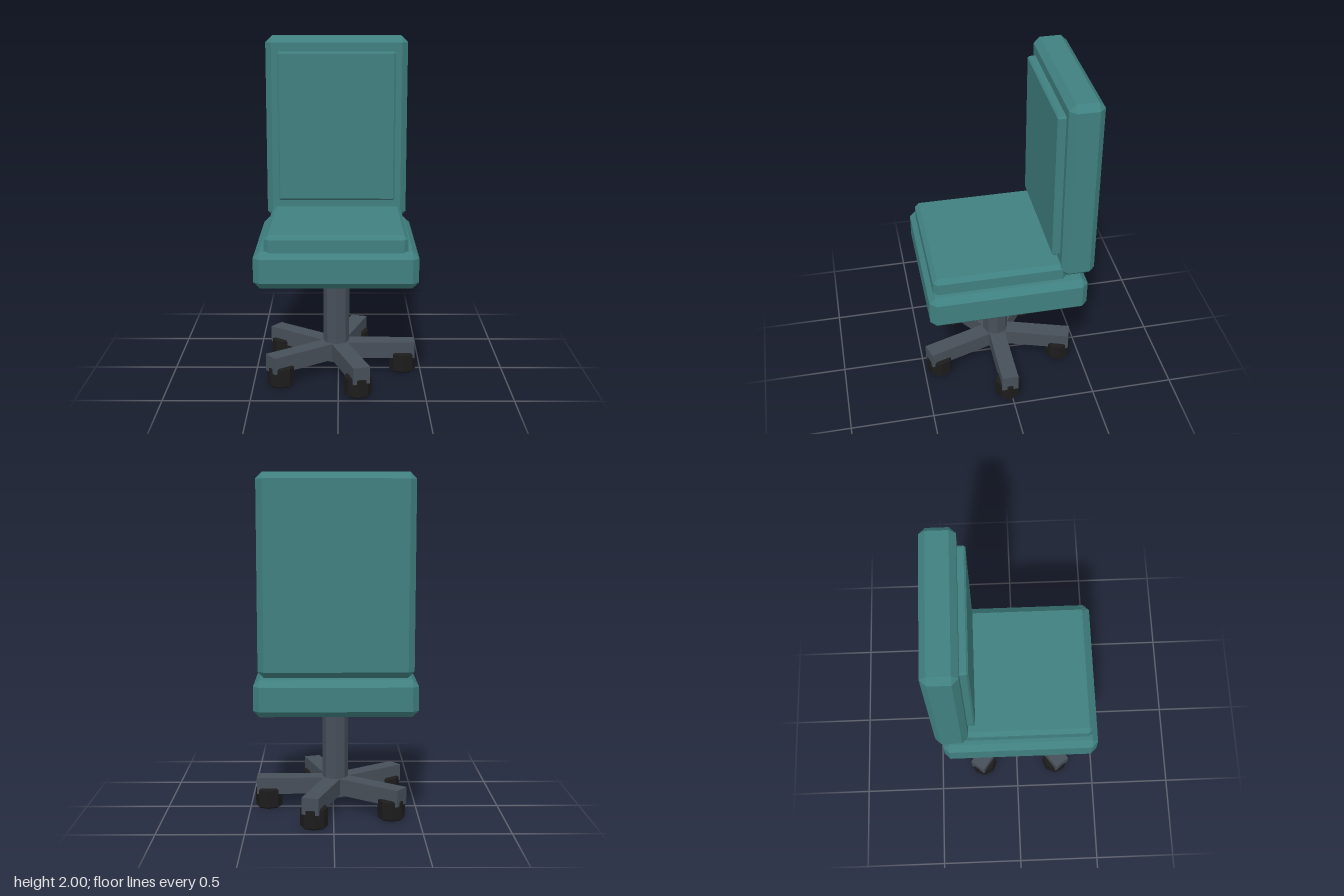
import * as THREE from 'three';
import { ConvexGeometry } from 'three/addons/geometries/ConvexGeometry.js';

const CX = -0.0125, CZ = 0.0175; // axis of the swivel column

// Box with every edge chamfered by c, given its lower and upper corners
function chamferBox(lo, hi, c) {
  const points = [];
  for (let corner = 0; corner < 8; corner++) {
    for (let axis = 0; axis < 3; axis++) {
      const p = [0, 1, 2].map((i) => {
        const inset = i === axis ? 0 : c;
        return (corner >> i) & 1 ? hi[i] - inset : lo[i] + inset;
      });
      points.push(new THREE.Vector3(...p));
    }
  }
  return new ConvexGeometry(points);
}

// Eight-sided upright post with bevelled rims
function octagonPost(radius, y0, y1, bevel) {
  const profile = [
    [0, y0], [radius - bevel, y0], [radius, y0 + bevel],
    [radius, y1 - bevel], [radius - bevel, y1], [0, y1],
  ].map(([x, y]) => new THREE.Vector2(x, y));
  const geometry = new THREE.LatheGeometry(profile, 8).toNonIndexed();
  geometry.computeVertexNormals();
  return geometry;
}

export function createModel() {
  const group = new THREE.Group();
  group.name = 'officeChair';

  const material = (name, color) => {
    const m = new THREE.MeshStandardMaterial({ color });
    m.name = name;
    return m;
  };
  const teal = material('tealUpholstery', 0x408080);
  const grey = material('greyMetal', 0x474f59);
  const black = material('blackRubber', 0x1c1c1d);

  const add = (name, geometry, mat, parent = group) => {
    const mesh = new THREE.Mesh(geometry, mat);
    mesh.name = name;
    parent.add(mesh);
    return mesh;
  };

  // Upholstery
  add('seat', chamferBox([-0.475, 0.65, -0.445], [0.45, 0.86, 0.48], 0.036), teal);
  add('seatCushion', chamferBox([-0.415, 0.81, -0.325], [0.39, 0.953, 0.45], 0.025), teal);
  add('backrest', chamferBox([-0.445, 0.88, -0.485], [0.42, 2, -0.29], 0.036), teal);
  add('backPad', chamferBox([-0.37, 1.002, -0.31], [0.345, 1.91, -0.245], 0.01), teal);

  // Swivel base
  const base = new THREE.Group();
  base.name = 'base';
  base.position.set(CX, 0, CZ);
  group.add(base);
  add('column', octagonPost(0.078, 0.066, 0.68, 0.006), grey, base);

  // Five legs, each ending over a caster
  const legGeometry = new THREE.BoxGeometry(0.475, 0.1, 0.1).translate(0.2375, 0.138, 0);
  const casterGeometry = octagonPost(0.08, 0, 0.12, 0.009);
  for (let i = 0; i < 5; i++) {
    const angle = (i * Math.PI * 2) / 5;
    add('leg', legGeometry, grey, base).rotation.y = -angle;
    add('caster', casterGeometry, black, base)
      .position.set(0.403 * Math.cos(angle), 0, 0.403 * Math.sin(angle));
  }
  return group;
}
